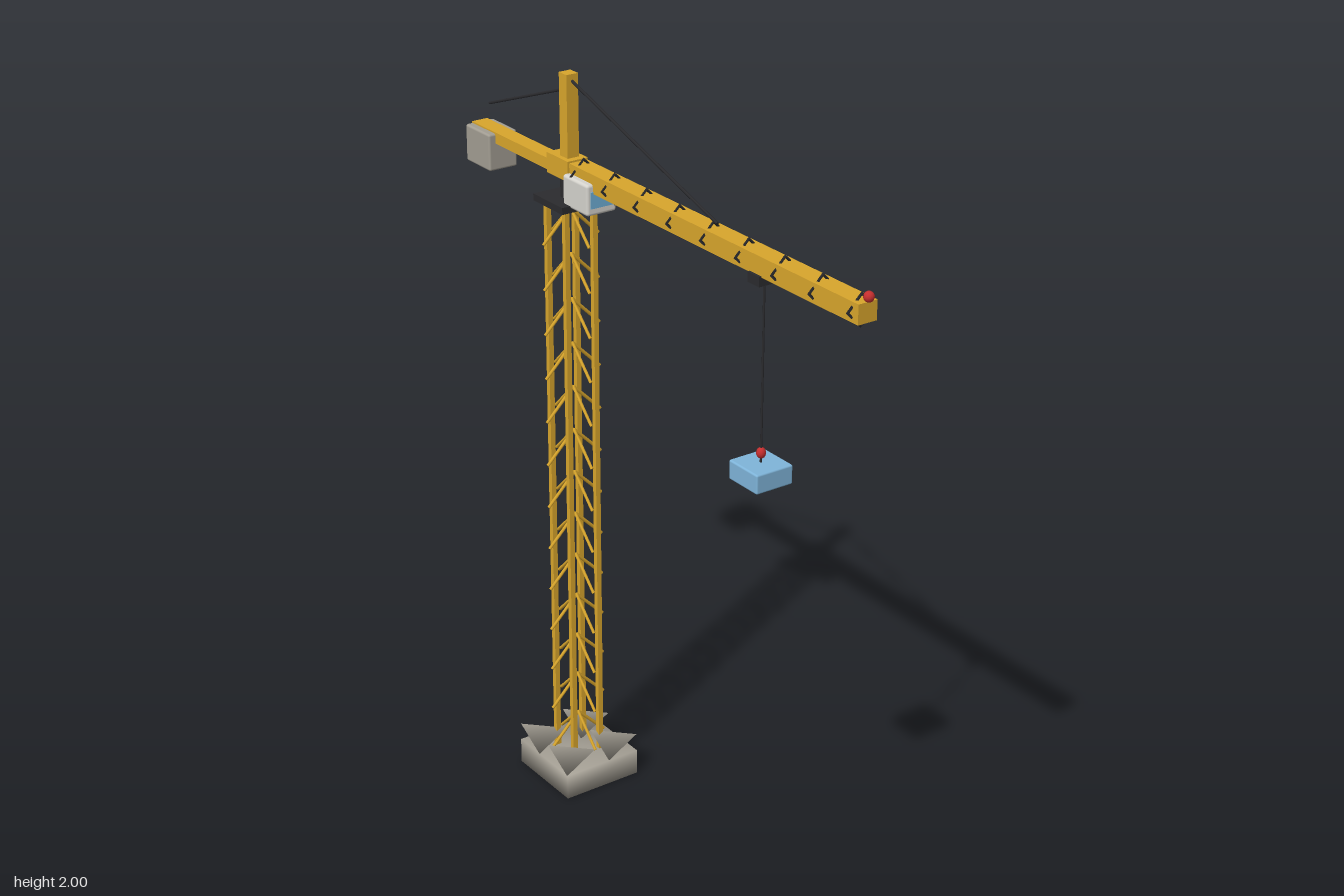
import * as THREE from 'three';
import { mergeVertices } from 'three/addons/utils/BufferGeometryUtils.js';
import { RoundedBoxGeometry } from 'three/addons/geometries/RoundedBoxGeometry.js';

const mat = (name, color) => Object.assign(new THREE.MeshStandardMaterial({ color }), { name });

export function createModel() {
  const crane = new THREE.Group();
  crane.name = 'towerCrane';
  const yellow = mat('craneYellow', 0xd9a62c);
  const concrete = mat('concrete', 0xa39e93);
  const dark = mat('darkSteel', 0x2b2b2e);
  const white = mat('cabWhite', 0xd6d4ce);
  const blue = mat('loadBlue', 0x7fb5da);
  const glass = mat('windowGlass', 0x6fb0d8);
  const red = mat('signalRed', 0xc62f2f);
  const CX = -0.378; // tower axis

  const add = (name, geo, material, x = 0, y = 0, z = 0, parent = crane) => {
    const m = new THREE.Mesh(geo, material);
    m.name = name;
    m.position.set(x, y, z);
    parent.add(m);
    return m;
  };
  // Box given by its x and y limits and its depth, centred on z = 0
  const span = (name, material, x0, x1, y0, y1, depth, bevel = 0) => add(name,
    bevel ? new RoundedBoxGeometry(x1 - x0, y1 - y0, depth, 2, bevel)
      : new THREE.BoxGeometry(x1 - x0, y1 - y0, depth),
    material, (x0 + x1) / 2, (y0 + y1) / 2);
  // Round bar between two points
  const bar = (name, material, a, b, r, parent = crane) => {
    const p = new THREE.Vector3(...a), q = new THREE.Vector3(...b);
    const m = add(name, new THREE.CylinderGeometry(r, r, p.distanceTo(q), 6), material, 0, 0, 0, parent);
    m.position.copy(p).add(q).multiplyScalar(0.5);
    m.quaternion.setFromUnitVectors(new THREE.Vector3(0, 1, 0), q.sub(p).normalize());
    return m;
  };
  // Share corners so the shading runs smoothly over the edges
  const soften = (geo) => {
    geo.deleteAttribute('normal');
    geo.deleteAttribute('uv');
    const g = mergeVertices(geo);
    g.computeVertexNormals();
    return g;
  };

  // Footing slab with four wedge blocks, each with a diagonal ridge
  add('footing', soften(new THREE.BoxGeometry(0.235, 0.072, 0.23)), concrete, CX, 0.036, 0);
  for (const sx of [-1, 1]) for (const sz of [-1, 1]) {
    const g = new THREE.TetrahedronGeometry(Math.sqrt(3));
    g.rotateY(Math.PI / 2);
    // keep the ridge running from front left to back right
    const p = g.attributes.position;
    let ridge = 0;
    for (let i = 0; i < p.count; i++) if (p.getY(i) > 0) ridge += p.getX(i) * p.getZ(i);
    if (ridge > 0) g.rotateY(Math.PI / 2);
    g.scale(0.046, 0.026, 0.046);
    add('footingBlock', soften(g), concrete, CX + sx * 0.069, 0.097, sz * 0.069);
  }

  // Tower: four legs and tiers of sloping braces
  const tower = new THREE.Group();
  tower.name = 'tower';
  tower.position.x = CX;
  crane.add(tower);
  for (const sx of [-1, 1]) for (const sz of [-1, 1])
    add('towerLeg', new THREE.BoxGeometry(0.014, 1.6, 0.014), yellow, sx * 0.042, 0.87, sz * 0.042, tower);
  for (let i = 0; i < 13; i++) {
    const y = 0.18 + i * 0.1225;
    for (const [dx, dz] of [[1, 0], [-1, 0], [0, 1], [0, -1]])
      bar('towerBrace', yellow, [0, y, 0], [dx * 0.083, y - 0.083, dz * 0.083], 0.0045, tower);
  }

  // Slewing platform
  span('platform', dark, CX - 0.066, CX + 0.066, 1.664, 1.682, 0.135);
  add('slewPivot', new THREE.CylinderGeometry(0.025, 0.025, 0.06, 16), dark, CX, 1.71, 0);

  // Jib, counter jib, hub and mast
  span('jib', yellow, -0.34, 0.787, 1.733, 1.782, 0.053);
  span('counterJib', yellow, -0.803, -0.42, 1.736, 1.766, 0.046);
  span('hub', yellow, -0.437, -0.342, 1.733, 1.786, 0.06);
  span('mast', yellow, CX - 0.017, CX + 0.017, 1.78, 2, 0.034);
  span('counterweight', concrete, -0.805, -0.69, 1.663, 1.762, 0.085, 0.006);

  // Diamond frames around the jib
  for (let i = 0; i < 9; i++) {
    const frame = add('jibFrame', new THREE.TorusGeometry(0.038, 0.0045, 4, 4), dark, -0.315 + i * 0.135, 1.757, 0);
    frame.rotation.y = Math.PI / 2;
  }

  // Stay cables
  bar('rearCable', dark, [CX, 1.96, 0], [-0.75, 1.825, 0], 0.004);
  bar('frontCable', dark, [CX, 1.987, 0], [0.24, 1.795, 0], 0.004);

  // Cab with windscreen
  span('cab', white, -0.346, -0.236, 1.675, 1.757, 0.088, 0.008);
  span('cabWindow', glass, -0.238, -0.233, 1.695, 1.738, 0.068);

  // Trolley, rope, hook and load
  span('trolley', dark, 0.4, 0.444, 1.711, 1.736, 0.066);
  bar('hoistRope', dark, [0.421, 1.715, 0], [0.421, 1.25, 0], 0.003);
  add('hook', new THREE.SphereGeometry(0.012, 12, 8), red, 0.421, 1.28, 0).scale.y = 1.2;
  span('load', blue, 0.366, 0.476, 1.205, 1.256, 0.107, 0.005);

  // Warning light on the jib tip
  add('tipLight', new THREE.SphereGeometry(0.013, 12, 8), red, 0.789, 1.795, 0);
  return crane;
}
